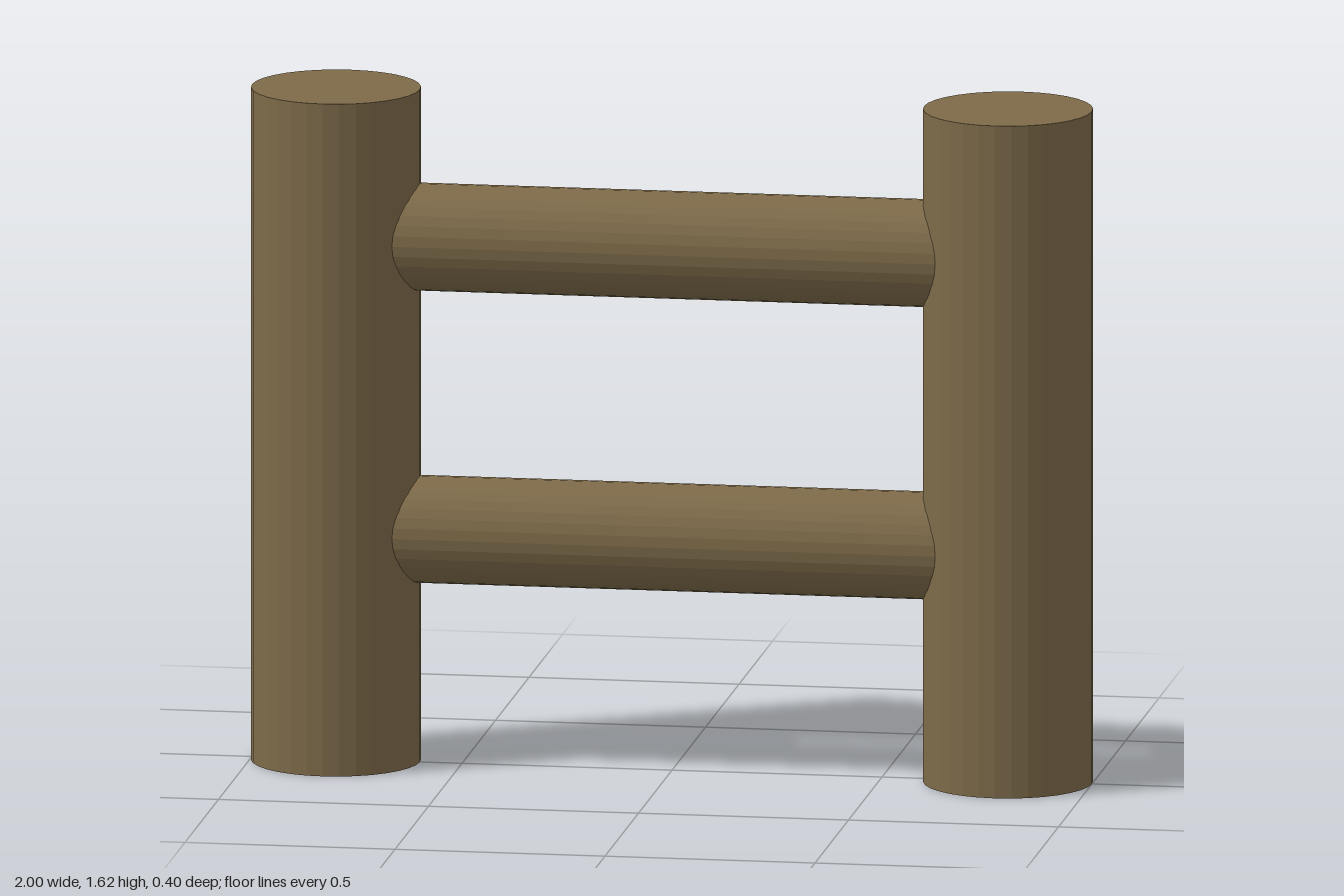
import * as THREE from 'three';

const POST_RADIUS = 0.2;
const POST_HEIGHT = 1.615;
const POST_X = 0.8;
const RAIL_RADIUS = 0.127;
const RAIL_HEIGHTS = { lowerRail: 0.56, upperRail: 1.262 };
const SIDES = 32;

export function createModel() {
  const group = new THREE.Group();
  group.name = 'fenceSection';
  const wood = new THREE.MeshStandardMaterial({ color: 0x7d6a49, flatShading: true });

  // Upright round posts, mirrored left and right
  const postGeometry = new THREE.CylinderGeometry(POST_RADIUS, POST_RADIUS, POST_HEIGHT, SIDES);
  for (const [name, side] of [['leftPost', 1], ['rightPost', -1]]) {
    const post = new THREE.Mesh(postGeometry, wood);
    post.name = name;
    post.position.set(side * POST_X, POST_HEIGHT / 2, 0);
    group.add(post);
  }

  // Round rails, their ends buried in the posts
  const railGeometry = new THREE.CylinderGeometry(RAIL_RADIUS, RAIL_RADIUS, POST_X * 2, SIDES);
  railGeometry.rotateZ(Math.PI / 2);
  for (const [name, y] of Object.entries(RAIL_HEIGHTS)) {
    const rail = new THREE.Mesh(railGeometry, wood);
    rail.name = name;
    rail.position.y = y;
    group.add(rail);
  }

  return group;
}
